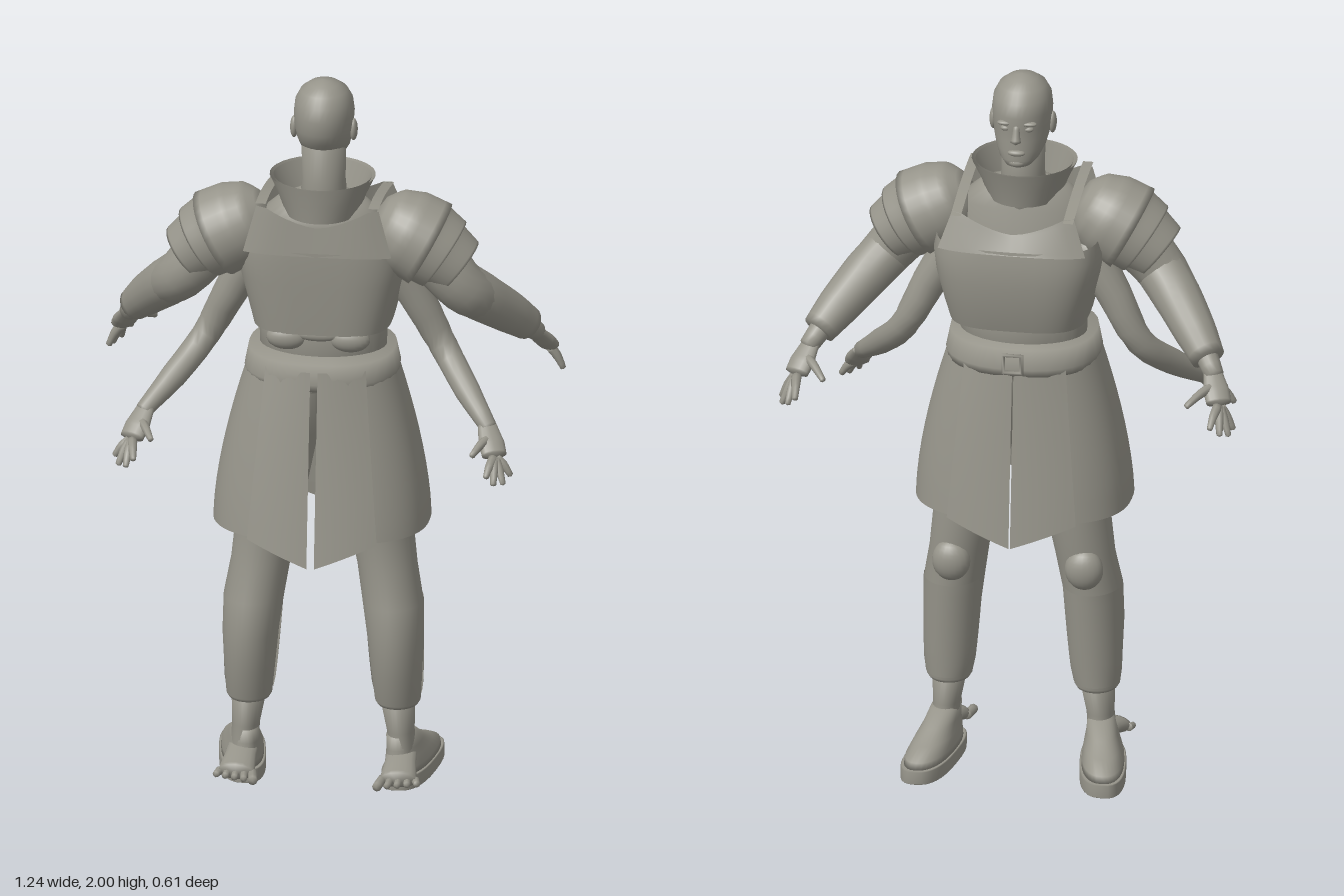
import * as THREE from 'three';

const V = (x, y, z) => new THREE.Vector3(x, y, z);
const lerp = THREE.MathUtils.lerp;

// Joins rings of points into one smooth surface, with optional end points
function skin(rings, start, end) {
  const n = rings[0].length, pos = [], idx = [];
  rings.forEach((r) => r.forEach((p) => pos.push(p.x, p.y, p.z)));
  for (let i = 0; i < rings.length - 1; i++)
    for (let j = 0; j < n; j++) {
      const a = i * n + j, b = i * n + (j + 1) % n;
      idx.push(a, a + n, b, b, a + n, b + n);
    }
  const cap = (ring, tip, base, top) => {
    const c = pos.length / 3;
    pos.push(tip.x, tip.y, tip.z);
    for (let j = 0; j < n; j++) {
      const a = base + j, b = base + (j + 1) % n;
      top ? idx.push(a, c, b) : idx.push(a, b, c);
    }
  };
  if (start) cap(rings[0], start, 0, false);
  if (end) cap(rings.at(-1), end, (rings.length - 1) * n, true);
  const g = new THREE.BufferGeometry();
  g.setAttribute('position', new THREE.Float32BufferAttribute(pos, 3));
  g.setIndex(idx);
  g.computeVertexNormals();
  return g;
}

// Upright loft; sections run upward: [y, centre x, half width, front z, back z]
function loft(sections, { power = 1, open = false, n = 32 } = {}) {
  const bend = (c) => Math.sign(c) * Math.abs(c) ** power;
  const rings = sections.map(([y, cx, rx, z0, z1]) => Array.from({ length: n }, (_, j) => {
    const t = j / n * Math.PI * 2;
    return V(cx + rx * bend(Math.cos(t)), y, (z0 + z1) / 2 + (z1 - z0) / 2 * bend(Math.sin(t)));
  }));
  const mid = ([y, cx, , z0, z1]) => V(cx, y, (z0 + z1) / 2);
  return open ? skin(rings) : skin(rings, mid(sections[0]), mid(sections.at(-1)));
}

// Tapered tube through [x, y, z, radius] points; flat squeezes it vertically
function limb(points, { flat = 1, open = false, n = 16, steps = 12, round = 0.5 } = {}) {
  const curve = new THREE.CatmullRomCurve3(points.map((p) => V(p[0], p[1], p[2])));
  const rings = [], m = points.length - 1;
  let first, last;
  for (let i = 0; i <= steps; i++) {
    const t = i / steps, k = Math.min(Math.floor(t * m), m - 1);
    const r = lerp(points[k][3], points[k + 1][3], t * m - k);
    const c = curve.getPoint(t), T = curve.getTangent(t);
    const u = V(0, 1, 0).cross(T).normalize(), v = u.clone().cross(T);
    rings.push(Array.from({ length: n }, (_, j) => {
      const a = j / n * Math.PI * 2;
      return c.clone().addScaledVector(u, r * Math.cos(a)).addScaledVector(v, r * flat * Math.sin(a));
    }));
    if (i === 0) first = c.clone().addScaledVector(T, -r * round);
    last = c.clone().addScaledVector(T, r * round);
  }
  return open ? skin(rings) : skin(rings, first, last);
}

// Curved sheet from a rule (u, v) => point
function sheet(rule, nu = 12, nv = 8) {
  const g = new THREE.PlaneGeometry(1, 1, nu, nv), p = g.attributes.position;
  for (let i = 0; i < p.count; i++) p.setXYZ(i, ...rule(p.getX(i) + 0.5, p.getY(i) + 0.5));
  g.computeVertexNormals();
  return g;
}

const ball = (x, y, z, rx, ry, rz) =>
  new THREE.SphereGeometry(1, 20, 14).scale(rx, ry, rz).translate(x, y, z);

function mirrored(geo) {
  const g = geo.clone().scale(-1, 1, 1), ix = g.index.array;
  for (let i = 0; i < ix.length; i += 3) [ix[i], ix[i + 1]] = [ix[i + 1], ix[i]];
  g.computeVertexNormals();
  return g;
}

export function createModel() {
  const model = new THREE.Group();
  const grey = new THREE.MeshStandardMaterial({ color: 0x96948a, side: THREE.DoubleSide });
  grey.name = 'warm grey';
  const add = (name, geo) => {
    const mesh = new THREE.Mesh(geo, grey);
    mesh.name = name;
    model.add(mesh);
  };
  const pair = (name, geo) => { add(name + 'Left', geo); add(name + 'Right', mirrored(geo)); };

  // Head and neck, face towards -z
  add('neck', loft([[1.6, 0, 0.07, -0.05, 0.09], [1.72, 0, 0.058, -0.045, 0.07], [1.83, 0, 0.06, -0.05, 0.075]]));
  add('head', loft([[1.762, 0, 0.02, -0.08, -0.04], [1.768, 0, 0.035, -0.092, -0.02], [1.785, 0, 0.053, -0.096, 0.02],
    [1.81, 0, 0.066, -0.094, 0.065], [1.84, 0, 0.074, -0.094, 0.09], [1.87, 0, 0.078, -0.092, 0.104],
    [1.91, 0, 0.081, -0.098, 0.108], [1.945, 0, 0.077, -0.086, 0.1], [1.972, 0, 0.063, -0.064, 0.08],
    [1.99, 0, 0.04, -0.035, 0.052], [1.998, 0, 0.018, -0.01, 0.027], [2, 0, 0.004, 0.004, 0.012]]));
  add('nose', limb([[0, 1.885, -0.09, 0.008], [0, 1.86, -0.096, 0.011], [0, 1.843, -0.1, 0.014]], { steps: 6 }));
  add('lips', ball(0, 1.809, -0.091, 0.024, 0.009, 0.012));
  add('chin', ball(0, 1.778, -0.08, 0.024, 0.014, 0.017));
  pair('ear', ball(0.08, 1.862, 0.012, 0.011, 0.031, 0.018));
  pair('eye', ball(0.031, 1.876, -0.08, 0.014, 0.008, 0.01));
  pair('brow', ball(0.032, 1.892, -0.082, 0.022, 0.007, 0.012));

  // Torso, flared collar, and chest armour
  add('torso', loft([[1.15, 0, 0.17, -0.1, 0.15], [1.3, 0, 0.172, -0.1, 0.14], [1.5, 0, 0.19, -0.08, 0.14],
    [1.62, 0, 0.18, -0.05, 0.13], [1.67, 0, 0.12, -0.04, 0.11], [1.69, 0, 0.06, -0.03, 0.08]]));
  add('collar', loft([[1.64, 0, 0.1, -0.07, 0.155], [1.69, 0, 0.118, -0.08, 0.16], [1.74, 0, 0.142, -0.095, 0.167]], { open: true }));
  add('collarLining', loft([[1.64, 0, 0.092, -0.062, 0.147], [1.738, 0, 0.132, -0.085, 0.157]], { open: true }));
  add('cuirass', loft([[1.32, 0, 0.185, -0.168, 0.155], [1.38, 0, 0.2, -0.185, 0.16], [1.46, 0, 0.22, -0.196, 0.165],
    [1.52, 0, 0.228, -0.194, 0.168], [1.56, 0, 0.22, -0.188, 0.168]], { open: true, power: 0.6, n: 48 }));
  const neckline = (x) => 1.6 + 0.05 * Math.min(1, Math.abs(x) / 0.14) ** 1.5;
  const bib = (z0, z1, rise) => sheet((u, v) => {
    const s = u * 2 - 1, x = s * lerp(0.2, 0.165, v);
    return [x, lerp(1.55, neckline(x) + rise, v), lerp(z0, z1, v) * (1 - 0.12 * Math.abs(s) ** 4)];
  });
  add('breastplateTop', bib(-0.19, -0.162, 0));
  add('backplateTop', bib(0.168, 0.16, 0.03));
  pair('shoulderStrap', sheet((u, v) => [lerp(0.138, 0.166, u), lerp(1.645, 1.69, Math.sin(v * Math.PI / 2)), lerp(-0.163, 0.15, v)], 1));
  pair('backPouch', ball(0.085, 1.302, 0.125, 0.055, 0.035, 0.03));
  add('pouchTie', ball(0, 1.315, 0.135, 0.06, 0.018, 0.015));

  // Belt and buckle
  add('belt', loft([[1.18, 0, 0.205, -0.148, 0.212], [1.2, 0, 0.208, -0.15, 0.215], [1.255, 0, 0.197, -0.142, 0.21]], { power: 0.85 }));
  add('buckle', new THREE.TorusGeometry(0.035, 0.007, 6, 4).rotateZ(Math.PI / 4).translate(0, 1.218, -0.152));

  // Skirt halves open along the middle, with paired flaps in front and behind
  const hem = (v, out) => ({ rx: lerp(0.29, 0.19, v ** 1.6) + out, f: lerp(-0.178, -0.13, v) - out, b: lerp(0.262, 0.2, v) + out });
  const wrap = (t, v, out) => {
    const h = hem(v, out), c = Math.sin(t), s = Math.cos(t);
    return [h.rx * Math.abs(c) ** 0.8, (h.f + h.b) / 2 + (h.b - h.f) / 2 * Math.sign(s) * Math.abs(s) ** 0.8];
  };
  pair('skirt', sheet((u, v) => {
    const [x, z] = wrap(lerp(0.025, Math.PI - 0.01, u), v, 0);
    return [x, lerp(0.765, 1.24, v), z];
  }, 32, 10));
  const flap = (side, gap) => sheet((u, v) => {
    const w = lerp(0.175, 0.135, v), x = lerp(gap, w, u), h = hem(v, 0.012 + 0.012 * (1 - v));
    const mid = (h.f + h.b) / 2, half = (h.b - h.f) / 2;
    return [x, lerp(lerp(0.7, 0.765, u), 1.235, v), mid + side * half * Math.sqrt(1 - (x / h.rx) ** 2 * 0.8)];
  });
  pair('backFlap', flap(1, 0.01));
  pair('frontFlap', flap(-1, 0.002));

  // Armoured legs with greaves and knee pads
  pair('leg', loft([[0.225, 0.2, 0.055, -0.045, 0.08], [0.235, 0.2, 0.061, -0.052, 0.087], [0.32, 0.198, 0.068, -0.062, 0.11],
    [0.42, 0.195, 0.075, -0.072, 0.125], [0.52, 0.187, 0.081, -0.075, 0.115], [0.62, 0.17, 0.08, -0.085, 0.092],
    [0.77, 0.147, 0.088, -0.1, 0.095], [1, 0.11, 0.098, -0.1, 0.12], [1.15, 0.09, 0.085, -0.09, 0.12]]));
  pair('greave', sheet((u, v) => {
    const t = u * Math.PI, r = lerp(0.063, 0.08, Math.sqrt(v));
    return [lerp(0.2, 0.188, v) + r * Math.cos(t), lerp(0.245, 0.525, v), 0.015 - lerp(0.075, 0.1, v) * Math.sin(t)];
  }, 16));
  pair('kneePad', ball(0.18, 0.598, -0.072, 0.052, 0.058, 0.038));
  pair('ankle', loft([[0.03, 0.212, 0.042, -0.06, 0.08], [0.1, 0.212, 0.037, -0.04, 0.078],
    [0.15, 0.208, 0.037, -0.028, 0.072], [0.24, 0.2, 0.047, -0.038, 0.08]]));

  // Shoes point to -z and splay outwards
  const splay = (g) => {
    const p = g.attributes.position;
    for (let i = 0; i < p.count; i++) p.setX(i, p.getX(i) - p.getZ(i) * 0.15);
    g.computeVertexNormals();
    return g;
  };
  pair('sole', splay(loft([[0, 0.22, 0.062, -0.222, 0.098], [0.002, 0.22, 0.063, -0.224, 0.1], [0.036, 0.22, 0.063, -0.224, 0.1], [0.038, 0.22, 0.06, -0.22, 0.096]], { power: 0.75 })));
  pair('shoe', splay(loft([[0.036, 0.22, 0.058, -0.215, 0.09], [0.055, 0.22, 0.057, -0.205, 0.088], [0.08, 0.218, 0.05, -0.15, 0.082],
    [0.105, 0.216, 0.042, -0.09, 0.08], [0.14, 0.212, 0.036, -0.035, 0.074]], { power: 0.85 })));

  // Bare feet point to +z
  pair('bareFoot', limb([[0.212, 0.09, 0.02, 0.04], [0.215, 0.075, 0.08, 0.042], [0.218, 0.052, 0.15, 0.05]], { flat: 0.5, round: 0.2 }));
  for (let i = 0; i < 5; i++) {
    const x = 0.175 + i * 0.022;
    pair('toe' + i, limb([[x, 0.05, 0.14, 0.012], [x + (i - 2) * 0.004, 0.047, 0.195 - i * 0.008, i ? 0.009 : 0.013]], { n: 8, steps: 4 }));
  }

  // Hand: a flat palm with five fingers from the knuckles to the given tips
  const hand = (name, wrist, knuckle, tips) => {
    pair(name + 'Palm', limb([[...wrist, 0.026], [...wrist.map((w, i) => lerp(w, knuckle[i], 0.6)), 0.036], [...knuckle, 0.034]], { flat: 0.55, round: 0.3 }));
    tips.forEach((tip, i) => {
      const root = knuckle.map((k, a) => i ? k + (tip[a] - k) * 0.15 : lerp(wrist[a], k, 0.4));
      const mid = root.map((r, a) => (r + tip[a]) / 2 + (a === 1 ? 0.006 : 0));
      pair(name + 'Finger' + i, limb([[...root, 0.014], [...mid, 0.012], [...tip, 0.008]], { n: 8, steps: 6 }));
    });
  };

  // Armoured arms reach forward to -z
  pair('upperArm', limb([[0.18, 1.6, 0.04, 0.085], [0.29, 1.53, 0.04, 0.078], [0.38, 1.43, 0.035, 0.068], [0.43, 1.38, -0.02, 0.06]]));
  pair('bracer', limb([[0.365, 1.445, 0.04, 0.068], [0.42, 1.39, -0.01, 0.066], [0.485, 1.32, -0.085, 0.057], [0.528, 1.27, -0.135, 0.046]], { round: 0.05 }));
  pair('wrist', limb([[0.51, 1.29, -0.11, 0.034], [0.55, 1.235, -0.165, 0.026]], { steps: 4 }));
  hand('armouredHand', [0.545, 1.24, -0.16], [0.572, 1.18, -0.222],
    [[0.492, 1.185, -0.27], [0.562, 1.14, -0.305], [0.585, 1.115, -0.285], [0.605, 1.105, -0.26], [0.612, 1.11, -0.225]]);

  // Layered shoulder guards
  pair('shoulderCap', limb([[0.15, 1.63, 0.04, 0.055], [0.18, 1.615, 0.04, 0.095], [0.225, 1.59, 0.04, 0.116], [0.29, 1.555, 0.04, 0.121]], { n: 28, round: 0.2 }));
  pair('shoulderBandUpper', limb([[0.28, 1.56, 0.04, 0.115], [0.328, 1.528, 0.04, 0.104]], { n: 28, round: 0.1 }));
  pair('shoulderBandLower', limb([[0.31, 1.54, 0.04, 0.1], [0.368, 1.494, 0.038, 0.083]], { n: 28, round: 0.1 }));

  // Bare arms hang behind to +z
  pair('bareArm', limb([[0.17, 1.52, 0.01, 0.055], [0.25, 1.38, -0.005, 0.047], [0.32, 1.245, -0.005, 0.038], [0.395, 1.155, 0.08, 0.035], [0.465, 1.085, 0.165, 0.023]]));
  hand('bareHand', [0.46, 1.09, 0.16], [0.488, 1.03, 0.225],
    [[0.432, 1.04, 0.262], [0.475, 0.995, 0.298], [0.495, 0.975, 0.298], [0.518, 0.97, 0.275], [0.533, 0.98, 0.235]]);

  return model;
}
